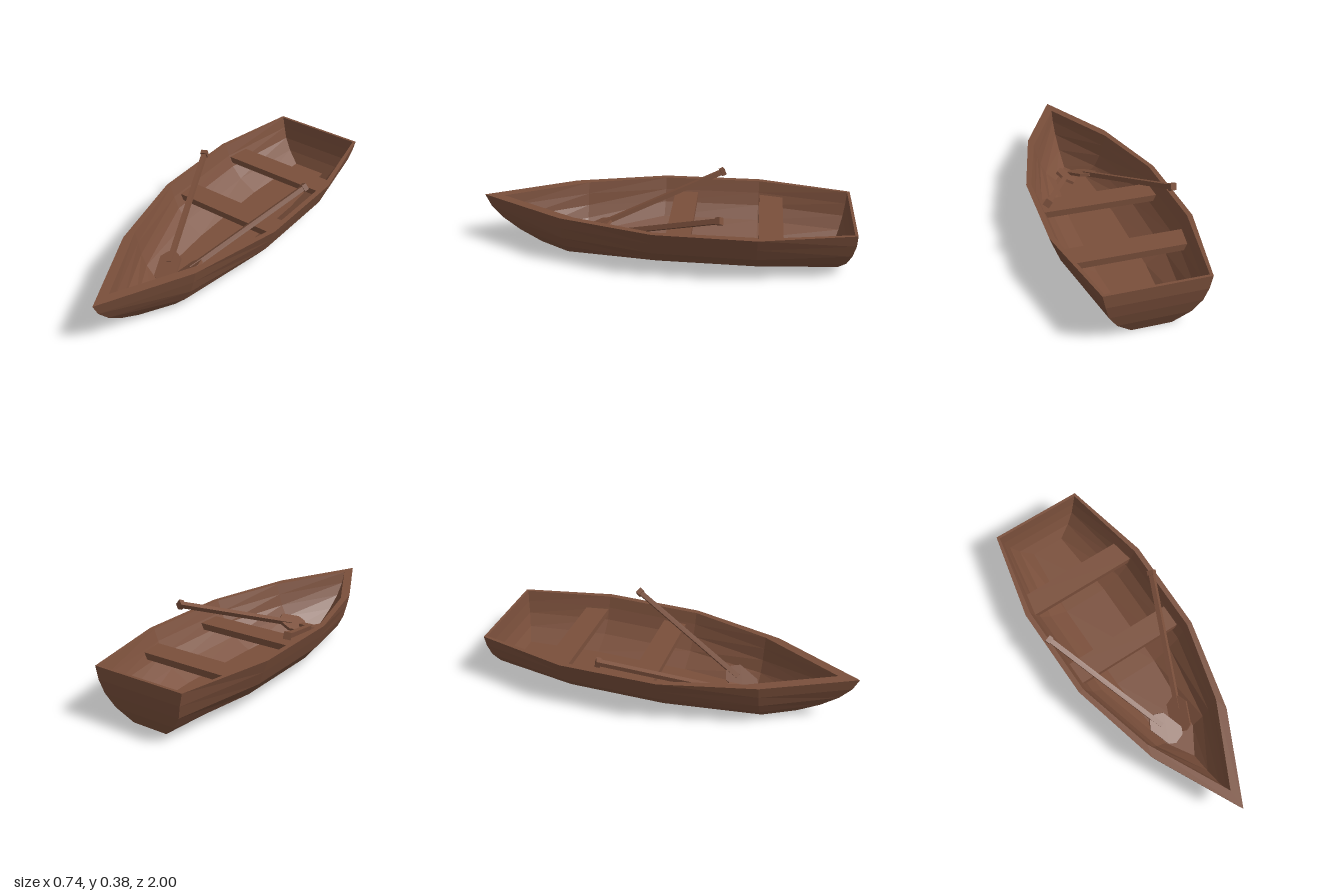
import * as THREE from 'three';

const wood = new THREE.MeshStandardMaterial({ color: 0x7a4f3b, flatShading: true });
wood.name = 'brown wood';

// Each station lists half widths from rim to floor, with one z or a z per level.
const outerY = [0.277, 0.21, 0.14, 0.07, 0];
const outer = [
  { z: [-1, -1, -0.987, -0.967, -0.935], w: [0.26, 0.245, 0.225, 0.18, 0.1] },
  { z: -0.5, w: [0.368, 0.343, 0.315, 0.255, 0.142] },
  { z: 0.03, w: [0.36, 0.336, 0.308, 0.25, 0.14] },
  { z: 0.53, w: [0.235, 0.22, 0.2, 0.163, 0.095] },
  { z: [1, 0.97, 0.91, 0.82, 0.7], w: [0, 0, 0, 0, 0] },
];
const innerY = [0.277, 0.215, 0.15, 0.085, 0.025];
const inner = [
  { z: [-0.985, -0.98, -0.97, -0.95, -0.92], w: [0.248, 0.232, 0.21, 0.165, 0.095] },
  { z: -0.5, w: [0.34, 0.318, 0.288, 0.23, 0.128] },
  { z: 0.03, w: [0.332, 0.31, 0.28, 0.225, 0.125] },
  { z: 0.46, w: [0.217, 0.2, 0.182, 0.15, 0.09] },
  { z: [0.89, 0.865, 0.81, 0.72, 0.605], w: [0, 0, 0, 0, 0] },
];

// Ring running from the +x rim, under the floor, to the -x rim
function ring(station, ys) {
  const side = s => ys.map((y, k) => new THREE.Vector3(
    s * station.w[k], y, Array.isArray(station.z) ? station.z[k] : station.z));
  return [...side(1), ...side(-1).reverse()];
}

function hullGeometry() {
  const pos = [];
  const tri = (a, b, c) => {
    const area = b.clone().sub(a).cross(c.clone().sub(a)).length();
    if (area > 1e-7) for (const p of [a, b, c]) pos.push(p.x, p.y, p.z);
  };
  const quad = (a, b, c, d, flip) => {
    if (flip) { tri(a, c, b); tri(b, c, d); } else { tri(a, b, c); tri(b, d, c); }
  };
  const shells = [outer.map(s => ring(s, outerY)), inner.map(s => ring(s, innerY))];
  // planking and transom of both shells
  shells.forEach((rings, flip) => {
    for (let i = 0; i < rings.length - 1; i++)
      for (let j = 0; j < 9; j++)
        quad(rings[i][j], rings[i + 1][j], rings[i][j + 1], rings[i + 1][j + 1], flip);
    const t = rings[0];
    for (let k = 0; k < 4; k++) quad(t[k], t[k + 1], t[9 - k], t[8 - k], flip);
  });
  // flat rim
  const [o, n] = shells;
  for (let i = 0; i < o.length - 1; i++) {
    quad(o[i][0], n[i][0], o[i + 1][0], n[i + 1][0]);
    quad(o[i][9], n[i][9], o[i + 1][9], n[i + 1][9], true);
  }
  quad(o[0][0], o[0][9], n[0][0], n[0][9]);

  const g = new THREE.BufferGeometry();
  g.setAttribute('position', new THREE.Float32BufferAttribute(pos, 3));
  g.computeVertexNormals();
  return g;
}

// Flat board from an outline of [x, z] points, centred on y = 0
function board(points, thickness) {
  const shape = new THREE.Shape(points.map(([x, z]) => new THREE.Vector2(x, z)));
  const g = new THREE.ExtrudeGeometry(shape, { depth: thickness, bevelEnabled: false });
  return g.rotateX(Math.PI / 2).translate(0, thickness / 2, 0);
}

function add(parent, name, geometry) {
  const mesh = new THREE.Mesh(geometry, wood);
  mesh.name = name;
  parent.add(mesh);
  return mesh;
}

// Oar running from its handle end to the blade tip
function makeOar(name, from, to, roll) {
  const oar = new THREE.Group();
  oar.name = name;
  const start = new THREE.Vector3(...from), end = new THREE.Vector3(...to);
  const len = start.distanceTo(end);
  add(oar, 'shaft', new THREE.BoxGeometry(0.026, 0.026, len - 0.12).translate(0, 0, (len - 0.12) / 2));
  add(oar, 'grip', new THREE.BoxGeometry(0.037, 0.037, 0.026).translate(0, 0, 0.006));
  add(oar, 'blade', board([
    [-0.02, len - 0.19], [0.02, len - 0.19], [0.058, len - 0.155], [0.058, len - 0.03],
    [0.03, len], [-0.03, len], [-0.058, len - 0.03], [-0.058, len - 0.155],
  ], 0.016));
  oar.position.copy(start);
  oar.lookAt(end);
  oar.rotateZ(roll);
  return oar;
}

export function createModel() {
  const boat = new THREE.Group();
  boat.name = 'rowingBoat';
  add(boat, 'hull', hullGeometry());

  // bench seats: back z, front z, back half width, front half width
  const seats = [['rearSeat', -0.635, -0.505, 0.3, 0.325], ['middleSeat', -0.155, -0.025, 0.318, 0.315]];
  for (const [name, z0, z1, w0, w1] of seats)
    add(boat, name, board([[-w0, z0], [w0, z0], [w1, z1], [-w1, z1]], 0.035)).position.y = 0.188;

  boat.add(makeOar('rightOar', [-0.343, 0.328, -0.295], [-0.02, 0.055, 0.485], 0.15));
  boat.add(makeOar('leftOar', [0.325, 0.357, -0.31], [0.015, 0.06, 0.46], 0.55));
  return boat;
}
